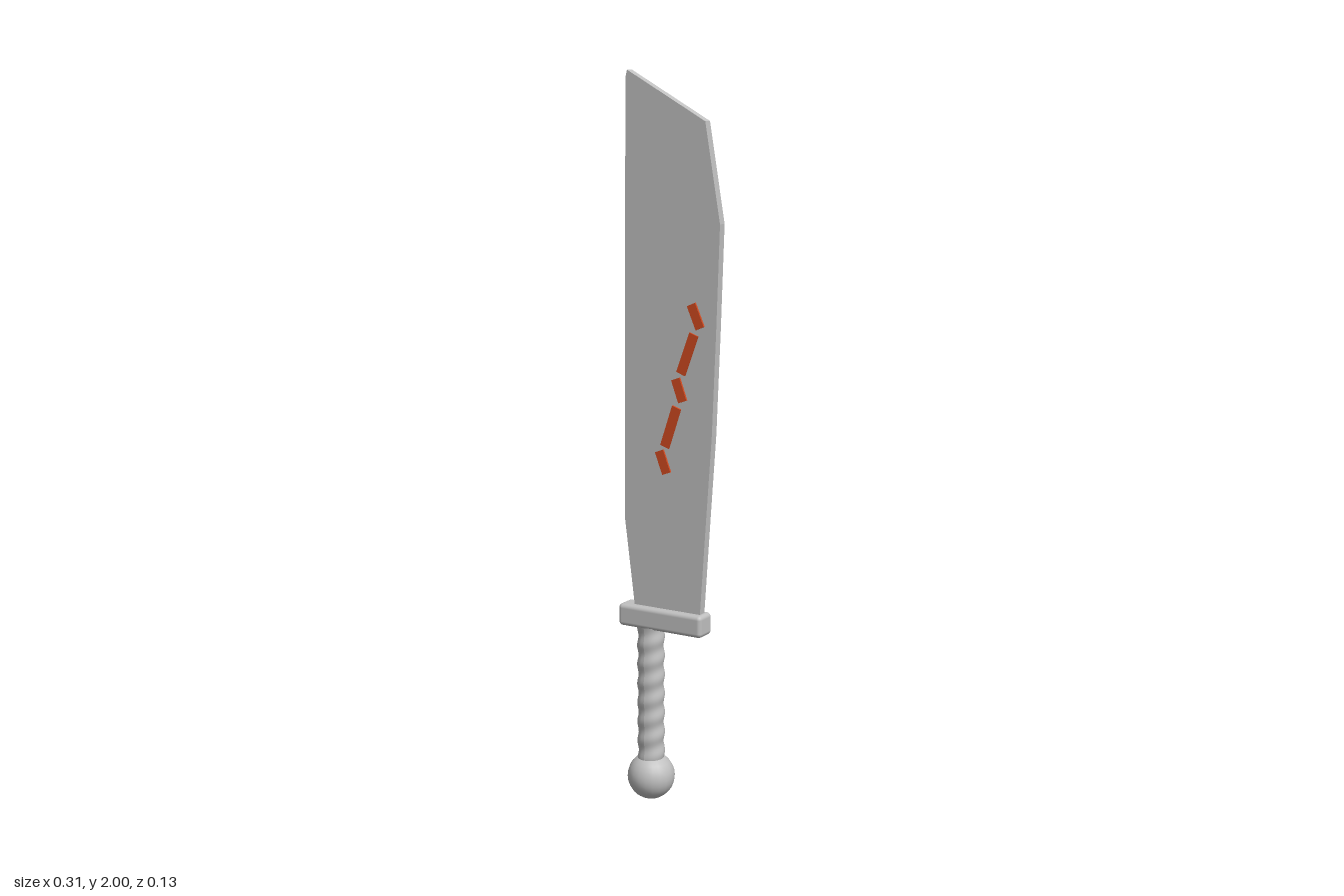
import * as THREE from 'three';
import { RoundedBoxGeometry } from 'three/addons/geometries/RoundedBoxGeometry.js';

const steel = new THREE.MeshStandardMaterial({ color: 0xc0c0c0 });
steel.name = 'steel grey';
const ember = new THREE.MeshStandardMaterial({ color: 0xd04a20 });
ember.name = 'ember orange';

const GRIP_X = -0.067;

export function createModel() {
  const sword = new THREE.Group();
  sword.name = 'sword';
  const add = (name, geometry, material, x = 0, y = 0, z = 0) => {
    const mesh = new THREE.Mesh(geometry, material);
    mesh.name = name;
    mesh.position.set(x, y, z);
    sword.add(mesh);
    return mesh;
  };

  // Broad flat blade with a slanted tip
  const outline = [
    [-0.11, 0.54], [0.095, 0.54], [0.113, 0.8], [0.131, 1.05], [0.143, 1.33],
    [0.153, 1.61], [0.108, 1.872], [-0.13, 2], [-0.135, 1.98], [-0.143, 0.8],
  ].map(([x, y]) => new THREE.Vector2(x, y));
  const blade = new THREE.ExtrudeGeometry(new THREE.Shape(outline), { depth: 0.024, bevelEnabled: false });
  add('blade', blade, steel, 0, 0, -0.012);

  // Zigzag of inlaid bars, standing proud of both blade faces
  const bars = [
    [0.069, 1.397, 0.096, 1.335],
    [0.077, 1.318, 0.037, 1.21],
    [0.021, 1.195, 0.043, 1.135],
    [0.024, 1.118, -0.013, 1.008],
    [-0.03, 0.995, -0.007, 0.935],
  ];
  for (const [x1, y1, x2, y2] of bars) {
    const length = Math.hypot(x2 - x1, y2 - y1);
    const bar = add('inlay', new THREE.BoxGeometry(0.027, length, 0.035), ember, (x1 + x2) / 2, (y1 + y2) / 2);
    bar.rotation.z = Math.atan2(y1 - y2, x1 - x2) - Math.PI / 2;
  }

  // Crossguard with softened edges
  add('guard', new RoundedBoxGeometry(0.264, 0.062, 0.064, 2, 0.012), steel, -0.023, 0.525);

  // Grip with a shallow spiral wrap
  const grip = new THREE.CylinderGeometry(0.036, 0.036, 0.4, 24, 56, true);
  const p = grip.attributes.position;
  for (let i = 0; i < p.count; i++) {
    const angle = Math.atan2(p.getZ(i), p.getX(i));
    const r = 0.0365 + 0.002 * Math.cos(angle + (p.getY(i) * 2 * Math.PI) / 0.055);
    p.setXYZ(i, r * Math.cos(angle), p.getY(i), r * Math.sin(angle));
  }
  grip.computeVertexNormals();
  add('grip', grip, steel, GRIP_X, 0.3);

  // Ball pommel
  add('pommel', new THREE.SphereGeometry(0.066, 20, 14), steel, GRIP_X, 0.066);

  return sword;
}
